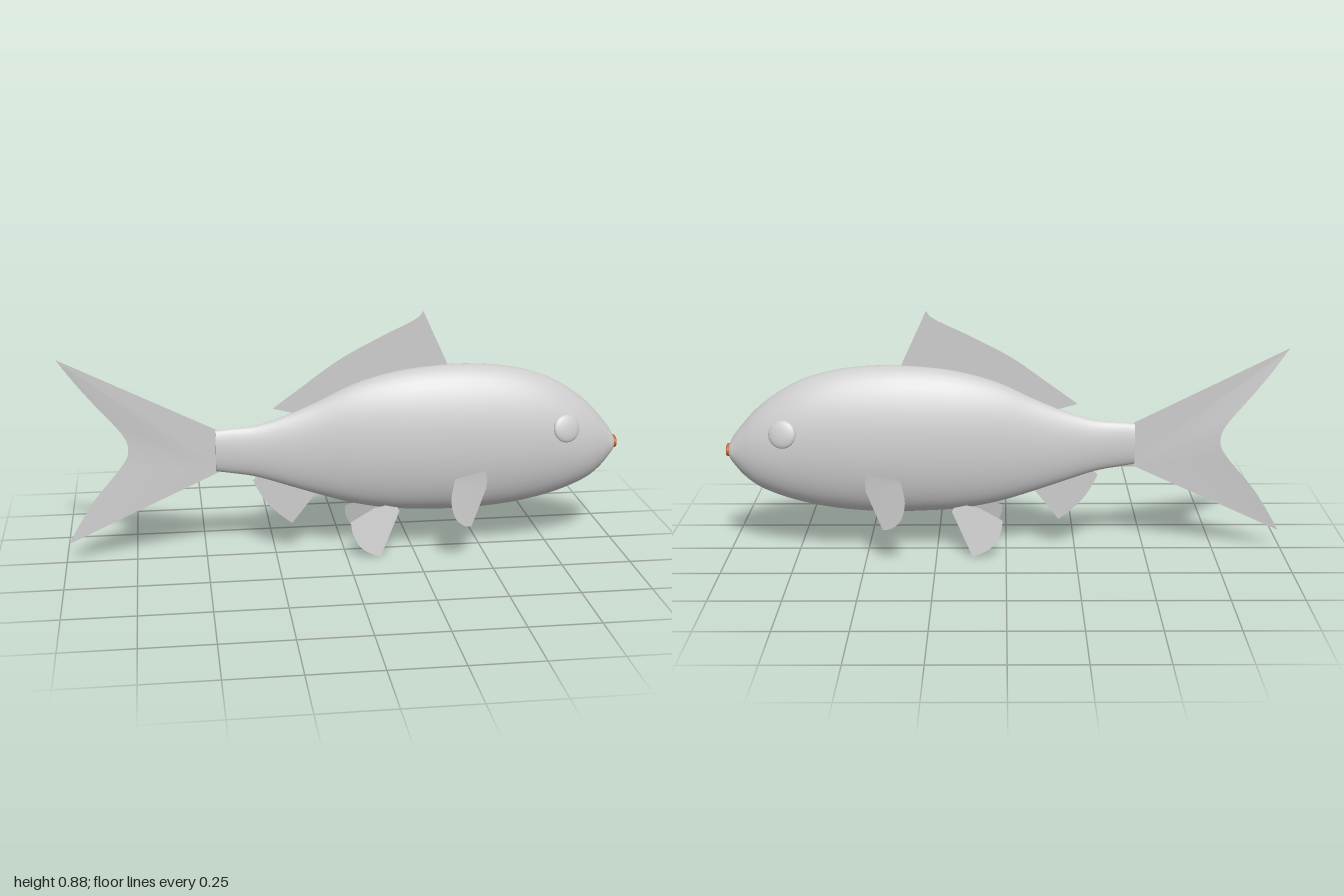
import * as THREE from 'three';

const skin = new THREE.MeshStandardMaterial({ name: 'greySkin', color: 0xcccccc });
const fin = new THREE.MeshStandardMaterial({ name: 'greyFin', color: 0xcccccc, side: THREE.DoubleSide });
const lip = new THREE.MeshStandardMaterial({ name: 'orangeLip', color: 0xc46a3c });

// Body stations: x, top y, bottom y, half width
const STATIONS = [
  [-0.46, 0.475, 0.325, 0.025], [-0.41, 0.48, 0.317, 0.027], [-0.32, 0.488, 0.3, 0.033],
  [-0.2, 0.525, 0.26, 0.048], [-0.1, 0.567, 0.226, 0.065], [0.03, 0.628, 0.187, 0.092],
  [0.17, 0.668, 0.162, 0.115], [0.3, 0.685, 0.154, 0.126], [0.43, 0.69, 0.152, 0.132],
  [0.6, 0.674, 0.165, 0.13], [0.73, 0.636, 0.19, 0.12], [0.83, 0.578, 0.222, 0.105],
  [0.895, 0.525, 0.253, 0.085], [0.94, 0.475, 0.289, 0.063], [0.968, 0.44, 0.322, 0.046],
  [0.982, 0.418, 0.342, 0.038], [0.99, 0.402, 0.358, 0.03],
];
const AROUND = 48;

// Egg-shaped cross-section, narrower above and fuller below
function section(x, top, bottom, width) {
  const mid = bottom + 0.45 * (top - bottom);
  return Array.from({ length: AROUND }, (_, j) => {
    const a = (j / AROUND) * Math.PI * 2, s = Math.sin(a), c = Math.cos(a);
    const y = mid + s * (s > 0 ? top - mid : mid - bottom);
    const z = width * Math.sign(c) * Math.pow(Math.abs(c), s > 0 ? 1.1 : 0.85);
    return new THREE.Vector3(x, y, z);
  });
}

function bodyGeometry() {
  const upper = new THREE.CatmullRomCurve3(STATIONS.map(s => new THREE.Vector3(s[0], s[1], s[3])));
  const lower = new THREE.CatmullRomCurve3(STATIONS.map(s => new THREE.Vector3(s[0], s[2], s[3])));
  const points = [], index = [], rows = 80;
  for (let i = 0; i <= rows; i++) {
    const u = upper.getPoint(i / rows), l = lower.getPoint(i / rows);
    points.push(...section(u.x, u.y, l.y, u.z));
  }
  for (let i = 0; i < rows; i++) {
    for (let j = 0; j < AROUND; j++) {
      const k = (j + 1) % AROUND;
      const a = i * AROUND + j, b = a + AROUND, c = i * AROUND + k, d = c + AROUND;
      index.push(a, b, c, b, d, c);
    }
  }
  const g = new THREE.BufferGeometry().setFromPoints(points);
  g.setIndex(index);
  g.computeVertexNormals();
  return g;
}

// Flat end of the body, facing along dir on x
function capGeometry(station, dir) {
  const ring = section(...station);
  const shape = new THREE.Shape(ring.map(p => new THREE.Vector2(-dir * p.z, p.y)));
  return new THREE.ShapeGeometry(shape).rotateY(dir * Math.PI / 2).translate(station[0], 0, 0);
}

// Thin fin: a smooth edge, then straight corners, placed sideways by depth(x, y)
function finGeometry(edge, corners, depth) {
  const v = p => new THREE.Vector2(p[0], p[1]);
  const outline = new THREE.SplineCurve(edge.map(v)).getPoints(32).concat(corners.map(v));
  const g = new THREE.ShapeGeometry(new THREE.Shape(outline));
  const p = g.attributes.position;
  for (let i = 0; i < p.count; i++) p.setZ(i, depth(p.getX(i), p.getY(i)));
  g.computeVertexNormals();
  return g;
}

export function createModel() {
  const fish = new THREE.Group();
  fish.name = 'fish';
  const add = (name, geometry, material) => {
    const mesh = new THREE.Mesh(geometry, material);
    mesh.name = name;
    fish.add(mesh);
    return mesh;
  };

  add('body', bodyGeometry(), skin);
  add('tailStump', capGeometry(STATIONS[0], -1), skin);
  add('mouthInside', capGeometry(STATIONS[STATIONS.length - 1], 1), skin);

  // Oval lips around the mouth
  const lips = add('lips', new THREE.TorusGeometry(0.025, 0.008, 12, 40), lip);
  lips.rotation.y = Math.PI / 2;
  lips.scale.set(1, 0.7, 1);
  lips.position.set(0.992, 0.38, 0);

  // Fins on the centre line
  add('tailFin', finGeometry(
    [[-1, 0.75], [-0.945, 0.67], [-0.875, 0.58], [-0.785, 0.47], [-0.767, 0.41],
      [-0.79, 0.355], [-0.89, 0.235], [-0.945, 0.15], [-0.99, 0.072]],
    [[-0.44, 0.325], [-0.44, 0.47]],
    x => -0.01 * Math.sin(Math.PI * Math.min(1, Math.max(0, (-0.46 - x) / 0.54)))), fin);
  add('dorsalFin', finGeometry(
    [[-0.255, 0.548], [-0.17, 0.61], [-0.02, 0.717], [0.13, 0.797], [0.25, 0.855], [0.28, 0.885]],
    [[0.37, 0.69], [0.36, 0.66], [0.1, 0.62], [-0.15, 0.52]], () => -0.002), fin);
  add('analFin', finGeometry(
    [[-0.33, 0.283], [-0.29, 0.21], [-0.24, 0.155], [-0.19, 0.115]],
    [[-0.1, 0.23], [-0.12, 0.27], [-0.3, 0.32]], () => 0), fin);

  // Paired fins and eyes
  for (const [side, label] of [[1, 'left'], [-1, 'right']]) {
    add(label + 'PelvicFin', finGeometry(
      [[0.013, 0.14], [0.018, 0.1], [0.04, 0.055], [0.07, 0.028], [0.12, 0.003]],
      [[0.195, 0.16], [0.18, 0.19], [0.1, 0.18]],
      (x, y) => side * (0.047 + (0.16 - y) * 0.2 + (0.195 - x) * 0.2)), fin);
    add(label + 'PectoralFin', finGeometry(
      [[0.37, 0.32], [0.353, 0.25], [0.366, 0.187], [0.4, 0.148], [0.435, 0.133]],
      [[0.495, 0.26], [0.5, 0.325]],
      (x, y) => side * (0.122 + 0.46 * (0.5 - x) + 1.3 * (0.5 - x) * (0.325 - y))), fin);

    const eye = add(label + 'Eye', new THREE.SphereGeometry(0.05, 32, 20), skin);
    eye.scale.set(1, 1, 0.3);
    eye.position.set(0.785, 0.467, side * 0.108);
    eye.quaternion.setFromUnitVectors(new THREE.Vector3(0, 0, 1),
      new THREE.Vector3(0.22, 0.25, side).normalize());
  }
  return fish;
}
